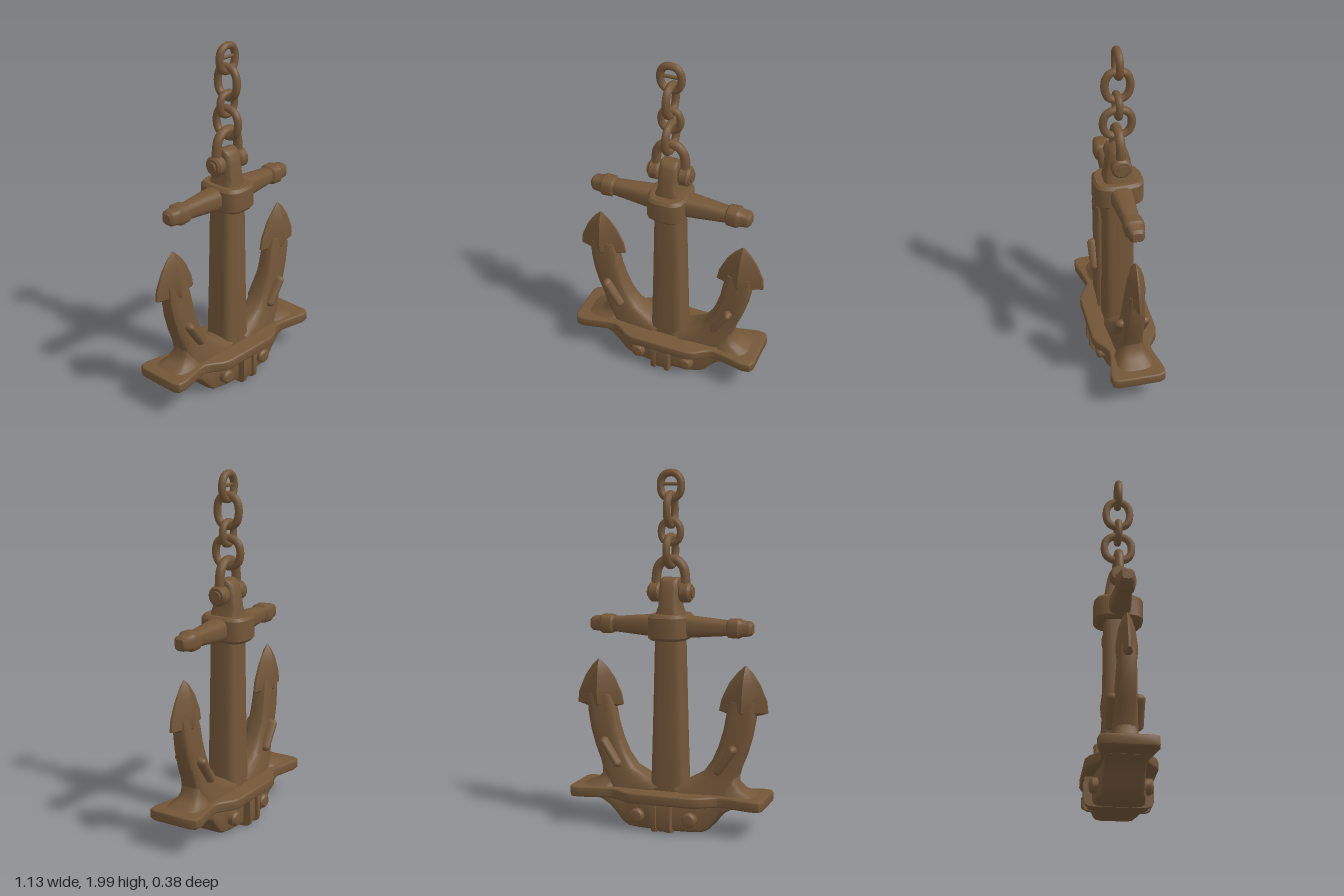
import * as THREE from 'three';
import { toCreasedNormals } from 'three/addons/utils/BufferGeometryUtils.js';

const bronze = new THREE.MeshStandardMaterial({ color: 0x735638 });
bronze.name = 'aged bronze';
const V = (x, y, z) => new THREE.Vector3(x, y, z);

// Rounded-rectangle section as [u, v] pairs; small p is squarer
function section(a, b, p = 0.4, n = 16) {
  const bend = (t) => Math.sign(t) * Math.pow(Math.abs(t), p);
  return Array.from({ length: n }, (_, i) => {
    const t = ((i + 0.5) / n) * Math.PI * 2;
    return [a * bend(Math.cos(t)), b * bend(Math.sin(t))];
  });
}

// Closed skin over a row of rings, capped at both ends and facing outward
function loft(rings, crease = 0.6) {
  const n = rings[0].length;
  const pts = rings.flat();
  const faces = [];
  for (let r = 0; r < rings.length - 1; r++) {
    for (let i = 0; i < n; i++) {
      const a = r * n + i, b = r * n + ((i + 1) % n);
      faces.push([a, b, b + n], [a, b + n, a + n]);
    }
  }
  const last = (rings.length - 1) * n;
  for (let i = 1; i < n - 1; i++) {
    faces.push([0, i + 1, i], [last, last + i, last + i + 1]);
  }
  let volume = 0;
  for (const [a, b, c] of faces) volume += pts[a].dot(V().crossVectors(pts[b], pts[c]));
  if (volume < 0) faces.forEach((f) => f.reverse());
  const g = new THREE.BufferGeometry().setFromPoints(pts);
  g.setIndex(faces.flat());
  return toCreasedNormals(g, crease);
}

// Upright loft from rows of [y, halfX, halfZ, centreX]
const column = (rows, p, crease) =>
  loft(rows.map(([y, a, b, cx = 0]) => section(a, b, p).map(([u, v]) => V(cx + u, y, v))), crease);

export function createModel() {
  const model = new THREE.Group();
  model.name = 'anchor';
  const add = (name, geometry, x = 0, y = 0, z = 0) => {
    const mesh = new THREE.Mesh(geometry, bronze);
    mesh.name = name;
    mesh.position.set(x, y, z);
    model.add(mesh);
    return mesh;
  };

  // Shank, collar and head
  add('shank', column([[0.19, 0.1, 0.09], [0.6, 0.088, 0.084], [1.1, 0.075, 0.08]], 0.4));
  add('collar', column([[1.07, 0.095, 0.125], [1.085, 0.112, 0.138], [1.195, 0.112, 0.138], [1.212, 0.098, 0.125]], 0.6));
  add('shankHead', column([[1.19, 0.076, 0.085], [1.22, 0.07, 0.082], [1.255, 0.057, 0.077], [1.33, 0.055, 0.066],
    [1.38, 0.053, 0.053], [1.4, 0.052, 0.04], [1.412, 0.046, 0.02]], 0.45));

  // Stock with a knob at each end
  const stock = [[0.08, 0.062], [0.15, 0.057], [0.33, 0.042], [0.34, 0.052], [0.395, 0.054], [0.41, 0.044], [0.455, 0.04], [0.47, 0.026]];
  const stockRows = [...stock.map(([x, r]) => [-x, r]).reverse(), ...stock];
  add('stock', loft(stockRows.map(([x, r]) => section(r, r * 1.03, 0.6).map(([u, v]) => V(x, 1.143 + u, v)))));

  // Crown hull: rows of [x, bottom y, half depth]
  const hull = [[0.06, 0.008, 0.14], [0.15, 0.008, 0.13], [0.215, 0.01, 0.115], [0.25, 0.03, 0.112],
    [0.285, 0.075, 0.11], [0.33, 0.125, 0.108], [0.38, 0.155, 0.108], [0.43, 0.165, 0.11]];
  const hullRows = [...hull.map(([x, y, d]) => [-x, y, d]).reverse(), ...hull];
  add('crownHull', loft(hullRows.map(([x, y, d]) => {
    const half = (0.2 - y) / 2;
    return section(half, d, 0.3).map(([u, v]) => V(x, y + half + u, v));
  })));

  // Crown plate with flared wings
  const edge = [[0.17, 0.18], [0.215, 0.166], [0.265, 0.13], [0.305, 0.11], [0.36, 0.115], [0.5, 0.145], [0.54, 0.14], [0.553, 0.115]];
  const right = [...edge.map(([x, z]) => [x, -z]), ...edge.map(([x, z]) => [x, z]).reverse()];
  const outline = [...right, ...right.map(([x, z]) => [-x, -z])];
  const plate = new THREE.ExtrudeGeometry(new THREE.Shape(outline.map(([x, z]) => new THREE.Vector2(x, z))),
    { depth: 0.04, bevelSize: 0.01, bevelThickness: 0.01, bevelSegments: 3 });
  plate.rotateX(-Math.PI / 2);
  add('crownPlate', toCreasedNormals(plate, 0.6), 0, 0.176, 0);

  // Keel between the recessed panels, with a rib on each side
  const keel = (w, d) => loft([-w, w].map((x) => section(0.094, d, 0.25).map(([u, v]) => V(x, 0.1 + u, v))));
  add('keel', keel(0.03, 0.165));

  for (const s of [1, -1]) {
    const side = s > 0 ? 'left' : 'right';
    add(side + 'KeelRib', keel(0.013, 0.182), s * 0.042, 0, 0);

    // Curved arm: rows of [inner x, inner y, outer x, outer y, half depth]
    const arm = [[0.02, 0.26, 0.25, 0.14, 0.1], [0.1, 0.285, 0.36, 0.2, 0.088], [0.2, 0.34, 0.39, 0.29, 0.07],
      [0.25, 0.41, 0.41, 0.37, 0.062], [0.285, 0.49, 0.443, 0.45, 0.058], [0.312, 0.58, 0.472, 0.55, 0.055],
      [0.328, 0.67, 0.49, 0.65, 0.05], [0.35, 0.74, 0.49, 0.74, 0.042]];
    add(side + 'Arm', loft(arm.map(([ix, iy, ox, oy, d]) => section(0.5, d, 0.5).map(([u, v]) =>
      V(s * (ix + (ox - ix) * (u + 0.5)), iy + (oy - iy) * (u + 0.5), v)))));

    // Flared foot joining the arm to the wing
    add(side + 'ArmFoot', column([[0.2, 0.12, 0.12, s * 0.41], [0.228, 0.1, 0.1, s * 0.4], [0.25, 0.068, 0.078, s * 0.37],
      [0.29, 0.055, 0.064, s * 0.345], [0.36, 0.055, 0.058, s * 0.345]], 0.6, 0.9));

    // Barbed fluke with a ridge on both faces
    const fluke = [[0.67, 0.42, 0.085, 0.048], [0.686, 0.42, 0.138, 0.056], [0.75, 0.423, 0.128, 0.058],
      [0.84, 0.425, 0.088, 0.046], [0.9, 0.428, 0.045, 0.028], [0.938, 0.43, 0.006, 0.005]];
    add(side + 'Fluke', loft(fluke.map(([y, cx, w, d]) =>
      [[1, 0.12], [0.5, 0.45], [0, 1], [-0.5, 0.45], [-1, 0.12], [-1, -0.12], [-0.5, -0.45], [0, -1], [0.5, -0.45], [1, -0.12]]
        .map(([u, v]) => V(s * (cx + u * w), y, v * d))), 0.4));

    for (const f of [1, -1]) {
      const face = f > 0 ? 'Front' : 'Back';
      // Oval pad on the arm
      const pad = add(side + face + 'ArmPad', new THREE.CapsuleGeometry(0.025, 0.145, 5, 12), s * 0.335, 0.42, f * 0.06);
      pad.rotation.z = -s * 0.58;
      pad.scale.z = 1.6;
      // Domed bolt in the hull panel
      const bolt = new THREE.LatheGeometry([[0.042, -0.03], [0.042, 0.02], [0.032, 0.032], [0, 0.038]]
        .map(([r, y]) => new THREE.Vector2(r, y)), 12);
      add(side + face + 'Bolt', toCreasedNormals(bolt, 0.6), s * 0.152, 0.088, f * 0.13).rotation.x = f * Math.PI / 2;
    }

    // Shackle eye
    const eye = new THREE.LatheGeometry([[0, -0.034], [0.046, -0.034], [0.056, -0.024], [0.056, 0.018], [0.044, 0.03], [0, 0.032]]
      .map(([r, y]) => new THREE.Vector2(r, y)), 20);
    add(side + 'ShackleEye', toCreasedNormals(eye, 0.6), s * 0.09, 1.33, 0).rotation.z = -s * Math.PI / 2;
  }

  // Shackle bow and pin
  const bow = [[-0.084, 1.33], [-0.084, 1.41], [-0.072, 1.468], [-0.04, 1.503], [0, 1.512],
    [0.04, 1.503], [0.072, 1.468], [0.084, 1.41], [0.084, 1.33]].map(([x, y]) => V(x, y, 0));
  add('shackleBow', new THREE.TubeGeometry(new THREE.CatmullRomCurve3(bow), 40, 0.026, 10));
  add('shacklePin', new THREE.CylinderGeometry(0.03, 0.03, 0.262, 12), 0, 1.33, 0).rotation.z = Math.PI / 2;

  // Chain: rows of [centre y, half width, half height, wire radius], alternately turned
  [[1.555, 0.078, 0.078, 0.022], [1.66, 0.055, 0.06, 0.02], [1.78, 0.068, 0.083, 0.022], [1.91, 0.059, 0.069, 0.021]]
    .forEach(([y, w, h, r], i) => {
      const path = new THREE.CatmullRomCurve3(section(w, h, 0.85).map(([u, v]) => V(u, v, 0)), true);
      add('chainLink' + (i + 1), new THREE.TubeGeometry(path, 40, r, 10, true), 0, y, 0).rotation.y = i % 2 ? 0 : Math.PI / 2;
    });
  add('linkStud', new THREE.CylinderGeometry(0.01, 0.01, 0.11, 8), 0, 1.918, 0).rotation.z = Math.PI / 2;

  return model;
}
